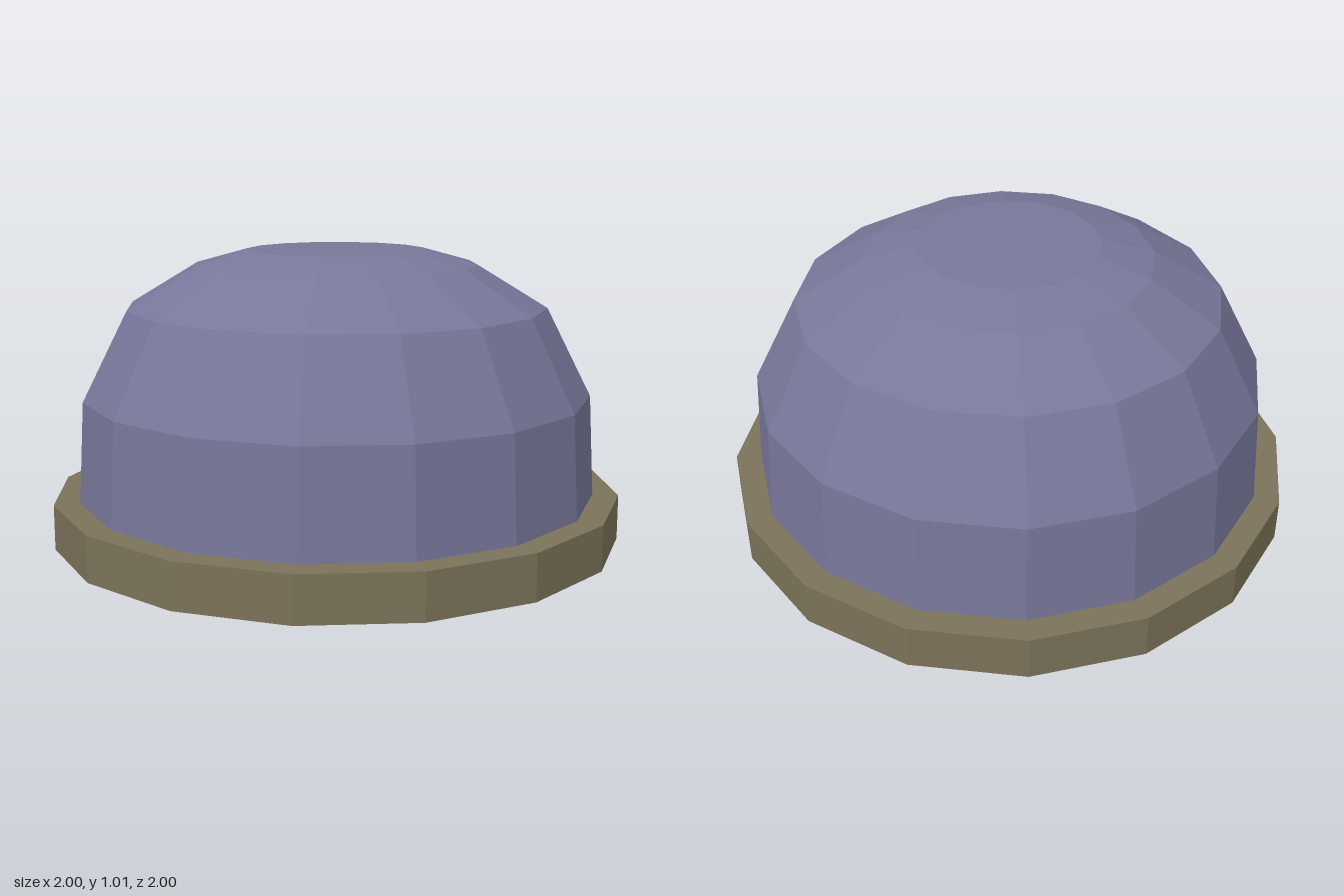
import * as THREE from 'three';

const SIDES = 16;

function material(color, side = THREE.FrontSide) {
  return new THREE.MeshStandardMaterial({ color, flatShading: true, side });
}

// Faceted turned part from [radius, height] pairs, listed bottom to top
function turned(name, profile, mat) {
  const points = profile.map(([r, y]) => new THREE.Vector2(r, y));
  const mesh = new THREE.Mesh(new THREE.LatheGeometry(points, SIDES), mat);
  mesh.name = name;
  return mesh;
}

export function createModel() {
  const model = new THREE.Group();
  model.name = 'domedCap';

  // Rounded shell with a flat crown
  model.add(turned('dome', [
    [0.916, 0.065], [0.91, 0.16], [0.89, 0.51], [0.735, 0.815],
    [0.495, 0.96], [0.315, 1.01], [0, 1.012],
  ], material(0x77779a)));

  // Thin brim: upright outer wall and flat top, open below
  model.add(turned('brim', [[1, 0], [1, 0.157], [0.905, 0.157]],
    material(0x7b7259, THREE.DoubleSide)));

  // Recessed floor closing the underside
  model.add(turned('underside', [[0, 0.065], [0.916, 0.065]],
    material(0x4a2815, THREE.DoubleSide)));

  // Studs under the floor: eight curved arms of five, one arm slightly turned
  const studs = new THREE.Group();
  studs.name = 'studs';
  const studGeometry = new THREE.SphereGeometry(0.016, 8, 6);
  const studMaterial = material(0xb89c30);
  const radii = [0.195, 0.375, 0.545, 0.685, 0.79];
  for (let arm = 0; arm < 8; arm++) {
    radii.forEach((radius, i) => {
      const degrees = 173 - 45 * arm + 11.25 * i + (arm === 6 ? 10 : 0);
      const angle = THREE.MathUtils.degToRad(degrees);
      const stud = new THREE.Mesh(studGeometry, studMaterial);
      stud.name = 'stud';
      stud.position.set(radius * Math.sin(angle), 0.057, radius * Math.cos(angle));
      studs.add(stud);
    });
  }
  model.add(studs);

  return model;
}
